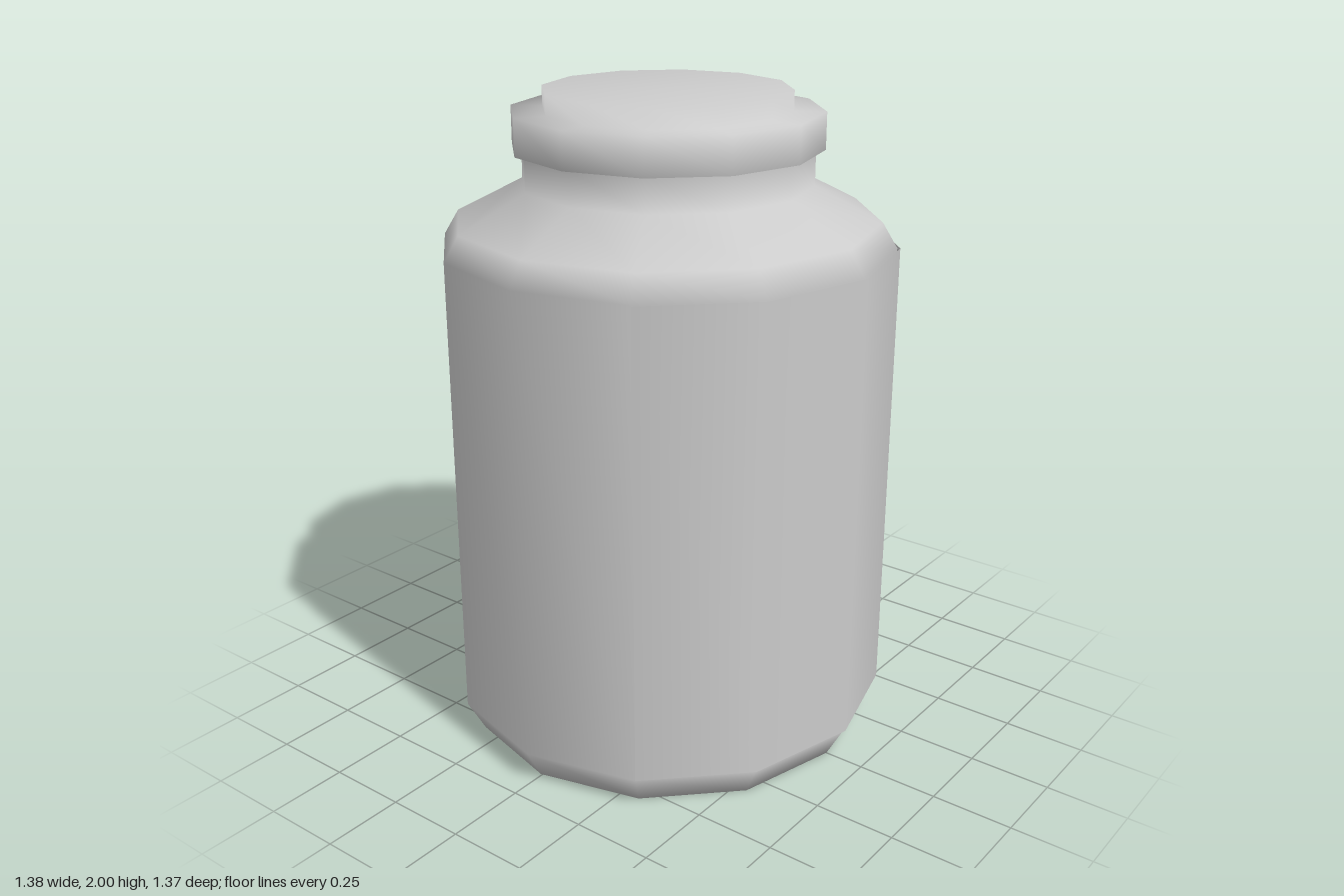
import * as THREE from 'three';

const SIDES = 12;

// Smooth-shaded surface of revolution from [radius, height] pairs, bottom to top
function turned(name, profile, material, sides = SIDES, start = 0, sweep = Math.PI * 2) {
  const points = profile.map(([r, y]) => new THREE.Vector2(r, y));
  const mesh = new THREE.Mesh(new THREE.LatheGeometry(points, sides, start, sweep), material);
  mesh.name = name;
  return mesh;
}

export function createModel() {
  const group = new THREE.Group();
  group.name = 'jar';
  const grey = new THREE.MeshStandardMaterial({ color: 0xcccccc });
  const thin = new THREE.MeshStandardMaterial({ color: 0xcccccc, side: THREE.DoubleSide });

  // Jar: chamfered base, straight wall, sloping shoulder and neck
  group.add(turned('jarBody', [
    [0, 0], [0.63, 0], [0.685, 0.1], [0.685, 1.545],
    [0.64, 1.62], [0.437, 1.725], [0.437, 1.83],
  ], grey));

  // Lid: overhanging rim with a smaller raised top
  group.add(turned('lid', [
    [0.437, 1.83], [0.465, 1.83], [0.465, 1.94],
    [0.37, 1.94], [0.37, 2], [0, 2],
  ], grey));

  // Label: four wall facets wide, just proud of the wall on the +x side
  group.add(turned('label', [[0.694, 0.105], [0.694, 1.545]], thin,
    4, Math.PI / 6, Math.PI * 2 / 3));

  // Centre the jar with its label
  group.position.x = -0.005;
  return group;
}
